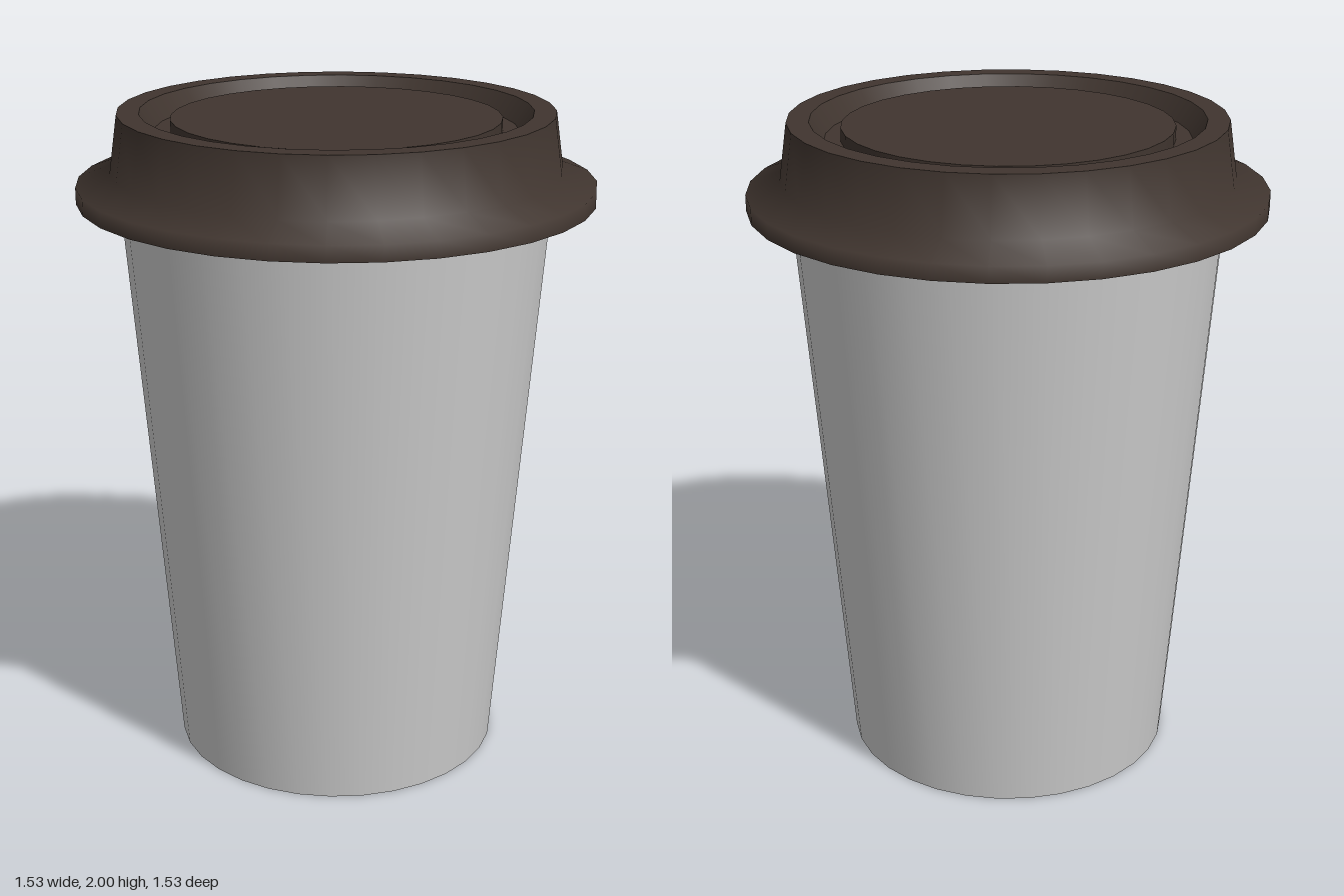
import * as THREE from 'three';
import { mergeGeometries } from 'three/addons/utils/BufferGeometryUtils.js';

const SIDES = 32;

// Each section is smooth within itself; the joints between sections stay sharp.
function turned(name, sections, color) {
  const parts = sections.map((section) =>
    new THREE.LatheGeometry(section.map(([r, y]) => new THREE.Vector2(r, y)), SIDES));
  const material = new THREE.MeshStandardMaterial({ color, side: THREE.DoubleSide });
  const mesh = new THREE.Mesh(mergeGeometries(parts), material);
  mesh.name = name;
  return mesh;
}

export function createModel() {
  const model = new THREE.Group();
  model.name = 'takeawayCup';

  // Tapered cup body with a flat base
  model.add(turned('cup', [
    [[0, 0], [0.5, 0]],
    [[0.5, 0], [0.643, 1.81]],
  ], 0xcccccc));

  // Lid: flange, sloping wall, rim, groove and raised centre disc
  model.add(turned('lid', [
    [[0.6, 1.745], [0.765, 1.745]],
    [[0.765, 1.745], [0.765, 1.793], [0.665, 1.83], [0.64, 2]],
    [[0.64, 2], [0.575, 2]],
    [[0.575, 2], [0.535, 1.94]],
    [[0.535, 1.94], [0.485, 1.94]],
    [[0.485, 1.94], [0.485, 1.98]],
    [[0.485, 1.98], [0, 1.98]],
  ], 0x40352f));

  return model;
}
